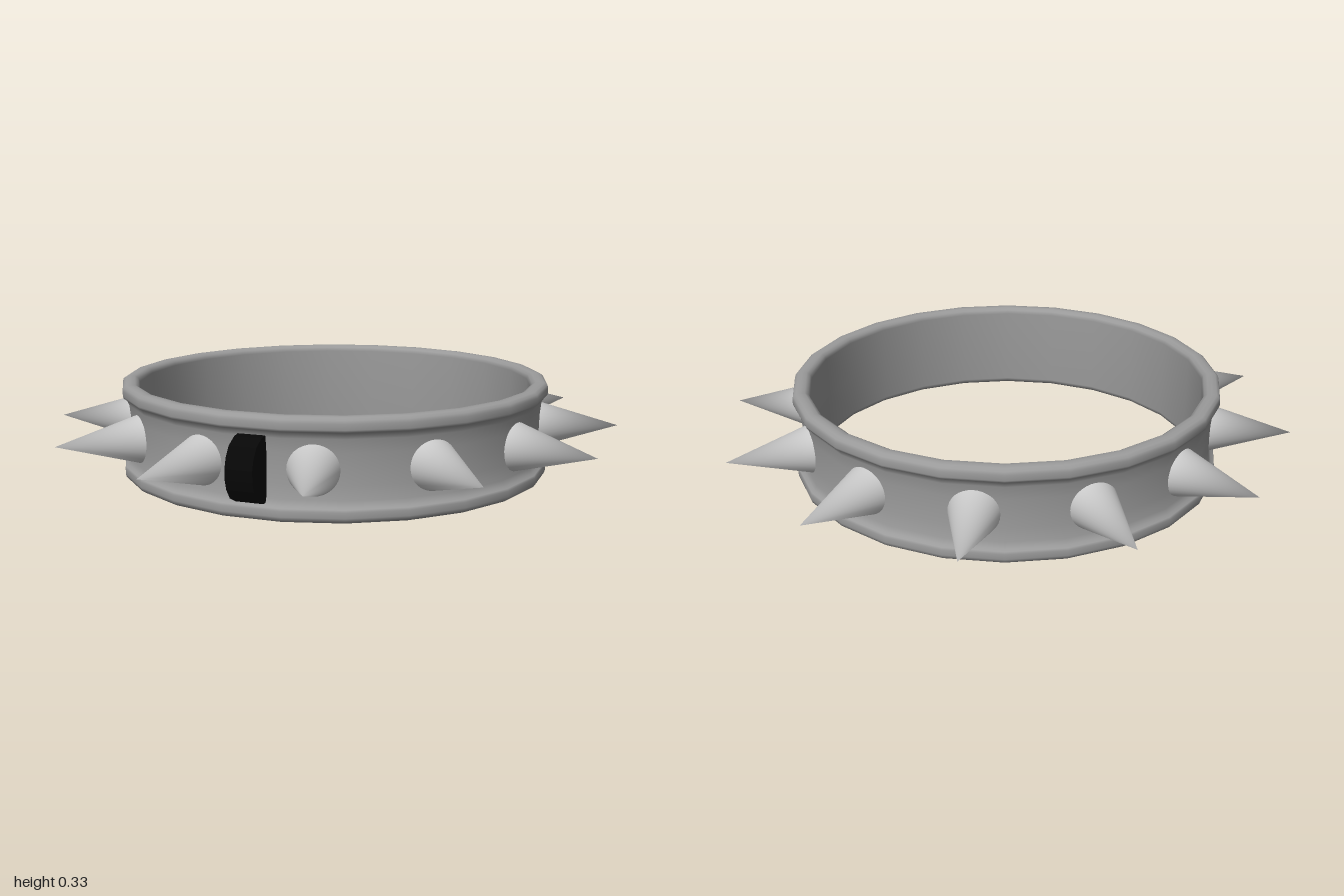
import * as THREE from 'three';
import { mergeVertices } from 'three/addons/utils/BufferGeometryUtils.js';

// Cone along +z whose shading runs smoothly over the tip
function softCone(radius, length) {
  const cone = new THREE.ConeGeometry(radius, length, 32, 1, true);
  cone.deleteAttribute('normal');
  cone.deleteAttribute('uv');
  const merged = mergeVertices(cone);
  merged.computeVertexNormals();
  merged.rotateX(Math.PI / 2);
  return merged;
}

export function createModel() {
  const model = new THREE.Group();
  const spikeGrey = new THREE.MeshStandardMaterial({ color: 0xcccccc });
  const bandGrey = new THREE.MeshStandardMaterial({ color: 0x9b9b9b });
  const black = new THREE.MeshStandardMaterial({ color: 0x070707, flatShading: true });
  const midY = 0.165;

  // Band: lower half of the profile, from the inner wall round the rim to the
  // shallow hollow of the outer face; the upper half is its mirror image
  const lower = [
    [0.695, midY], [0.695, 0.022], [0.7, 0.008], [0.712, 0.001], [0.727, 0], [0.742, 0.002],
    [0.752, 0.009], [0.755, 0.02], [0.755, 0.038], [0.752, 0.046], [0.742, 0.051],
    [0.734, 0.07], [0.729, 0.115], [0.728, midY],
  ];
  const upper = lower.slice(0, -1).reverse().map(([r, y]) => [r, 2 * midY - y]);
  const profile = [...lower, ...upper].map(([r, y]) => new THREE.Vector2(r, y));
  const band = new THREE.Mesh(new THREE.LatheGeometry(profile, 24), bandGrey);
  band.name = 'band';
  model.add(band);

  // Spikes: twelve cones pointing outwards
  const spikes = new THREE.Group();
  spikes.name = 'spikes';
  const baseR = 0.705, tipR = 1.005;
  const cone = softCone(0.087, tipR - baseR);
  cone.translate(0, 0.162, (baseR + tipR) / 2);
  for (let i = 0; i < 12; i++) {
    const spike = new THREE.Mesh(cone, spikeGrey);
    spike.name = 'spike';
    spike.rotation.y = THREE.MathUtils.degToRad(7.5 + i * 30);
    spikes.add(spike);
  }
  model.add(spikes);

  // Clasp: rounded black block bulging from the front of the band
  const half = [[0.715, 0.107], [0.755, 0.102], [0.795, 0.082], [0.818, 0.05], [0.828, 0.017]];
  const outline = [...half, ...half.map(([z, y]) => [z, -y]).reverse()];
  const shape = new THREE.Shape(outline.map(([z, y]) => new THREE.Vector2(z, y)));
  const width = 0.09;
  const claspGeometry = new THREE.ExtrudeGeometry(shape, { depth: width, bevelEnabled: false });
  claspGeometry.translate(0, 0.16, -width / 2);
  claspGeometry.rotateY(-Math.PI / 2);
  const clasp = new THREE.Mesh(claspGeometry, black);
  clasp.name = 'clasp';
  clasp.rotation.y = THREE.MathUtils.degToRad(-7.5);
  model.add(clasp);

  return model;
}
